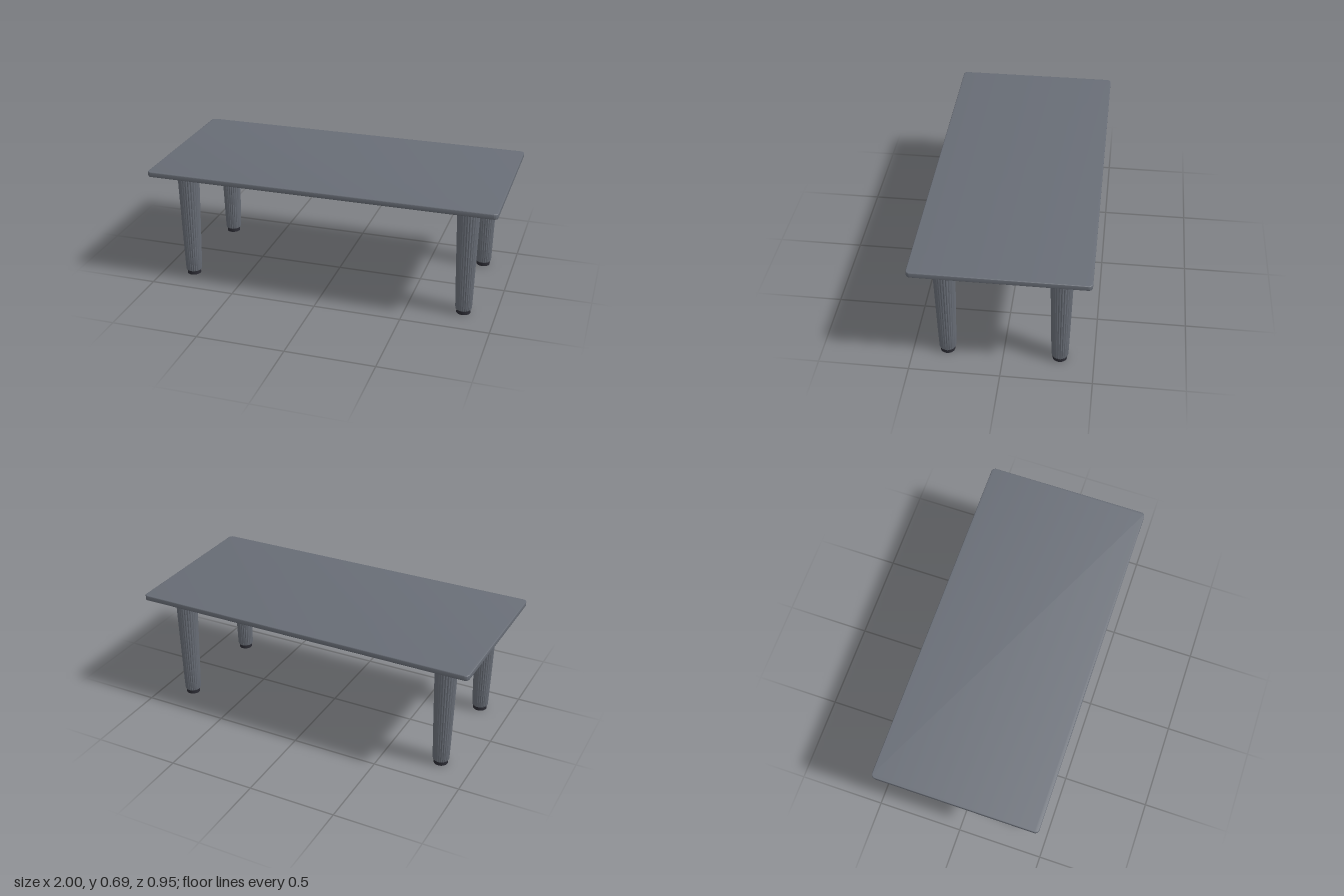
import * as THREE from 'three';
import { toCreasedNormals } from 'three/addons/utils/BufferGeometryUtils.js';

const stone = new THREE.MeshStandardMaterial({ color: 0x686d76 });
stone.name = 'grey slate';
const dark = new THREE.MeshStandardMaterial({ color: 0x2c2c34 });
dark.name = 'dark charcoal';

function mesh(name, geometry, material, x = 0, y = 0, z = 0) {
  const m = new THREE.Mesh(geometry, material);
  m.name = name;
  m.position.set(x, y, z);
  return m;
}

// Horizontal slab with rounded corners and softened edges, standing on y = 0
function slab(width, depth, height, radius, bevel) {
  const w = width / 2 - bevel, d = depth / 2 - bevel, r = radius;
  const s = new THREE.Shape();
  s.moveTo(-w + r, -d);
  s.lineTo(w - r, -d);
  s.absarc(w - r, -d + r, r, -Math.PI / 2, 0);
  s.absarc(w - r, d - r, r, 0, Math.PI / 2);
  s.absarc(-w + r, d - r, r, Math.PI / 2, Math.PI);
  s.absarc(-w + r, -d + r, r, Math.PI, Math.PI * 1.5);
  const g = new THREE.ExtrudeGeometry(s, {
    depth: height - 2 * bevel, bevelEnabled: true, bevelSize: bevel,
    bevelThickness: bevel, bevelSegments: 3, curveSegments: 8,
  });
  g.translate(0, 0, bevel);
  g.rotateX(-Math.PI / 2);
  return toCreasedNormals(g, 0.6);
}

// Tapered leg whose side is pressed into rounded reeds
function reededLeg() {
  const reeds = 24;
  const profile = [
    [0, 0.022], [0.041, 0.022], [0.045, 0.025], [0.047, 0.034], [0.0505, 0.15],
    [0.0545, 0.3], [0.0585, 0.46], [0.0622, 0.61], [0.0622, 0.63], [0.061, 0.641], [0, 0.641],
  ].map(([r, y]) => new THREE.Vector2(r, y));
  const g = new THREE.LatheGeometry(profile, reeds * 6);
  const p = g.attributes.position;
  for (let i = 0; i < p.count; i++) {
    const x = p.getX(i), z = p.getZ(i);
    const k = 1 - 0.06 * (1 - Math.abs(Math.sin(Math.atan2(x, z) * reeds / 2)));
    p.setXYZ(i, x * k, p.getY(i), z * k);
  }
  return toCreasedNormals(g, 0.6);
}

export function createModel() {
  const table = new THREE.Group();
  table.name = 'table';
  const legX = 0.82, legZ = 0.311;

  // Top and the thinner panel beneath it
  table.add(mesh('tableTop', slab(2, 0.95, 0.03, 0.02, 0.004), stone, 0, 0.661, 0));
  table.add(mesh('underPanel', slab(1.9, 0.87, 0.015, 0.02, 0.002), dark, 0, 0.647, 0));

  // Rails joining the legs, just clear of the panel
  const longRail = new THREE.BoxGeometry(2 * legX - 0.1, 0.043, 0.04);
  const shortRail = new THREE.BoxGeometry(0.04, 0.043, 2 * legZ - 0.1);
  for (const s of [-1, 1]) {
    table.add(mesh('longRail', longRail, dark, 0, 0.6185, s * legZ));
    table.add(mesh('shortRail', shortRail, dark, s * legX, 0.6185, 0));
  }

  // Four legs, each with a mounting plate and a foot
  const legGeometry = reededLeg();
  const plate = new THREE.CylinderGeometry(0.067, 0.065, 0.008, 48);
  const foot = new THREE.CylinderGeometry(0.04, 0.04, 0.024, 48);
  for (const sx of [-1, 1]) for (const sz of [-1, 1]) {
    const leg = new THREE.Group();
    leg.name = 'leg';
    leg.position.set(sx * legX, 0, sz * legZ);
    leg.add(mesh('reededPost', legGeometry, stone));
    leg.add(mesh('mountingPlate', plate, dark, 0, 0.644, 0));
    leg.add(mesh('foot', foot, dark, 0, 0.012, 0));
    table.add(leg);
  }
  return table;
}
